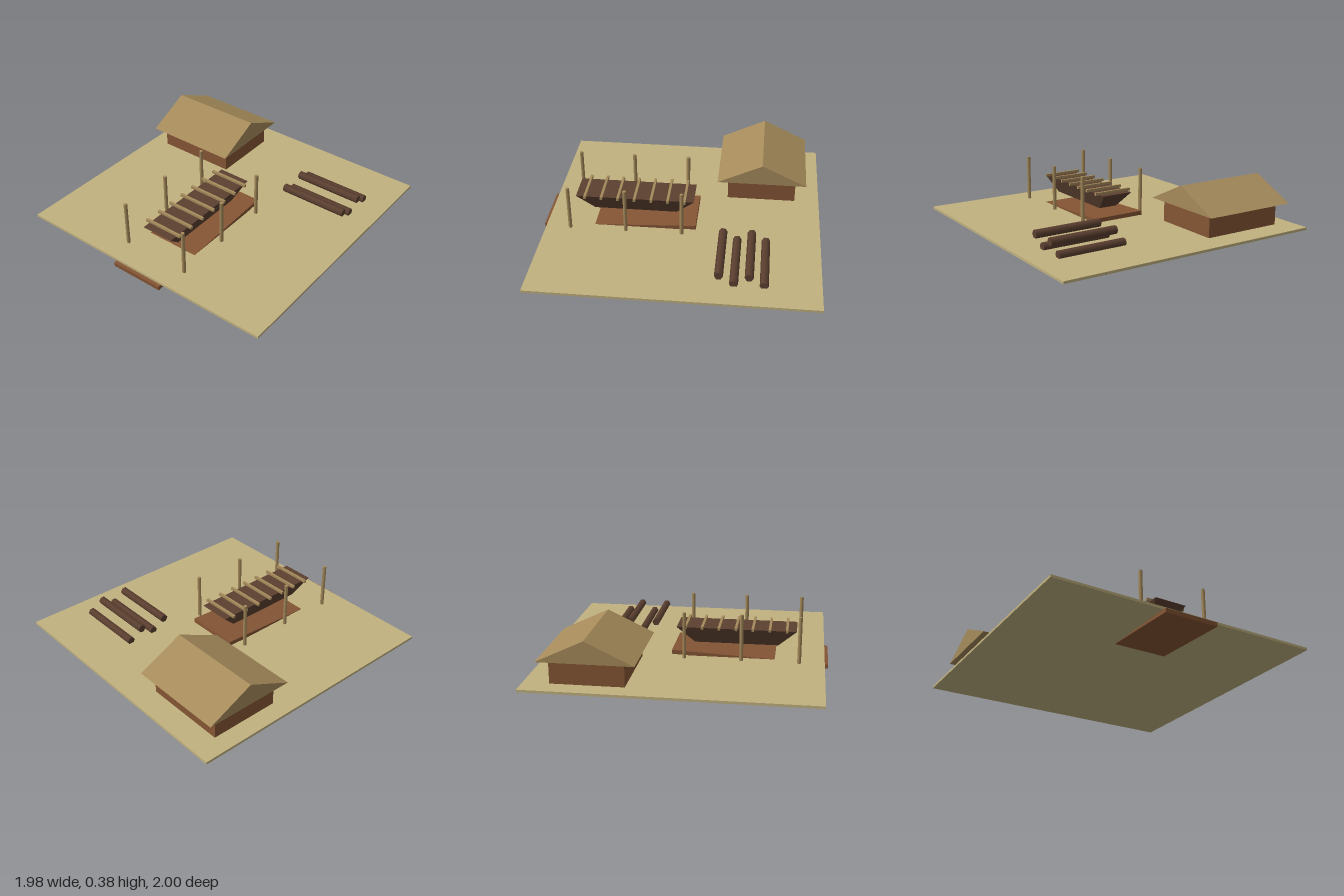
import * as THREE from 'three';

export function createModel() {
  const model = new THREE.Group();
  model.name = 'boatyard';

  const material = (name, color) => {
    const m = new THREE.MeshStandardMaterial({ color });
    m.name = name;
    return m;
  };
  const sand = material('sand', 0xc2b280);
  const plank = material('plankBrown', 0x855534);
  const dark = material('darkWood', 0x5c4030);
  const pale = material('paleWood', 0xa68b5b);

  const add = (name, geometry, mat, x, y, z) => {
    const mesh = new THREE.Mesh(geometry, mat);
    mesh.name = name;
    mesh.position.set(x, y, z);
    model.add(mesh);
    return mesh;
  };
  const box = (w, h, d) => new THREE.BoxGeometry(w, h, d);

  // Ground slab
  add('ground', box(1.98, 0.018, 1.975), sand, 0, 0.041, -0.0125);

  // Slipway, sloping down through the slab to the front edge
  add('slipway', box(0.4, 0.03, 1.11), plank, 0, 0.044, 0.445).rotation.x = 0.05;

  // Hull: a box narrowed towards its bottom
  const hull = box(0.24, 0.122, 0.86);
  const p = hull.attributes.position;
  for (let i = 0; i < p.count; i++) {
    if (p.getY(i) < 0) {
      p.setX(i, p.getX(i) * 0.6);
      p.setZ(i, p.getZ(i) * 0.7);
    }
  }
  hull.computeVertexNormals();
  add('hull', hull, dark, 0, 0.173, 0.343);

  // Cross ribs along the deck
  for (let i = 0; i < 7; i++) {
    add('rib', box(0.3, 0.02, 0.018), pale, 0, 0.241, -0.02 + i * 0.1207);
  }

  // Scaffold posts on both sides of the slipway
  for (const side of [-1, 1]) {
    for (const z of [-0.012, 0.392, 0.797]) {
      add('post', new THREE.CylinderGeometry(0.0135, 0.0135, 0.335, 6), pale, side * 0.252, 0.217, z);
    }
  }

  // Shed walls and overhanging gable roof
  add('shedWalls', box(0.605, 0.166, 0.505), plank, -0.555, 0.131, -0.566);
  const gable = new THREE.Shape();
  gable.moveTo(-0.33, 0);
  gable.lineTo(0.33, 0);
  gable.lineTo(0, 0.157);
  gable.closePath();
  const roof = new THREE.ExtrudeGeometry(gable, { depth: 0.706, bevelEnabled: false });
  roof.translate(0, 0, -0.353);
  roof.rotateY(Math.PI / 2);
  add('shedRoof', roof, pale, -0.555, 0.214, -0.566);

  // Timber logs, alternating in height
  for (let i = 0; i < 4; i++) {
    const log = new THREE.CylinderGeometry(0.03, 0.03, 0.505, 6);
    log.rotateZ(Math.PI / 2);
    add('log', log, dark, 0.554, i % 2 ? 0.128 : 0.068, -0.616 + i * 0.101);
  }

  return model;
}
